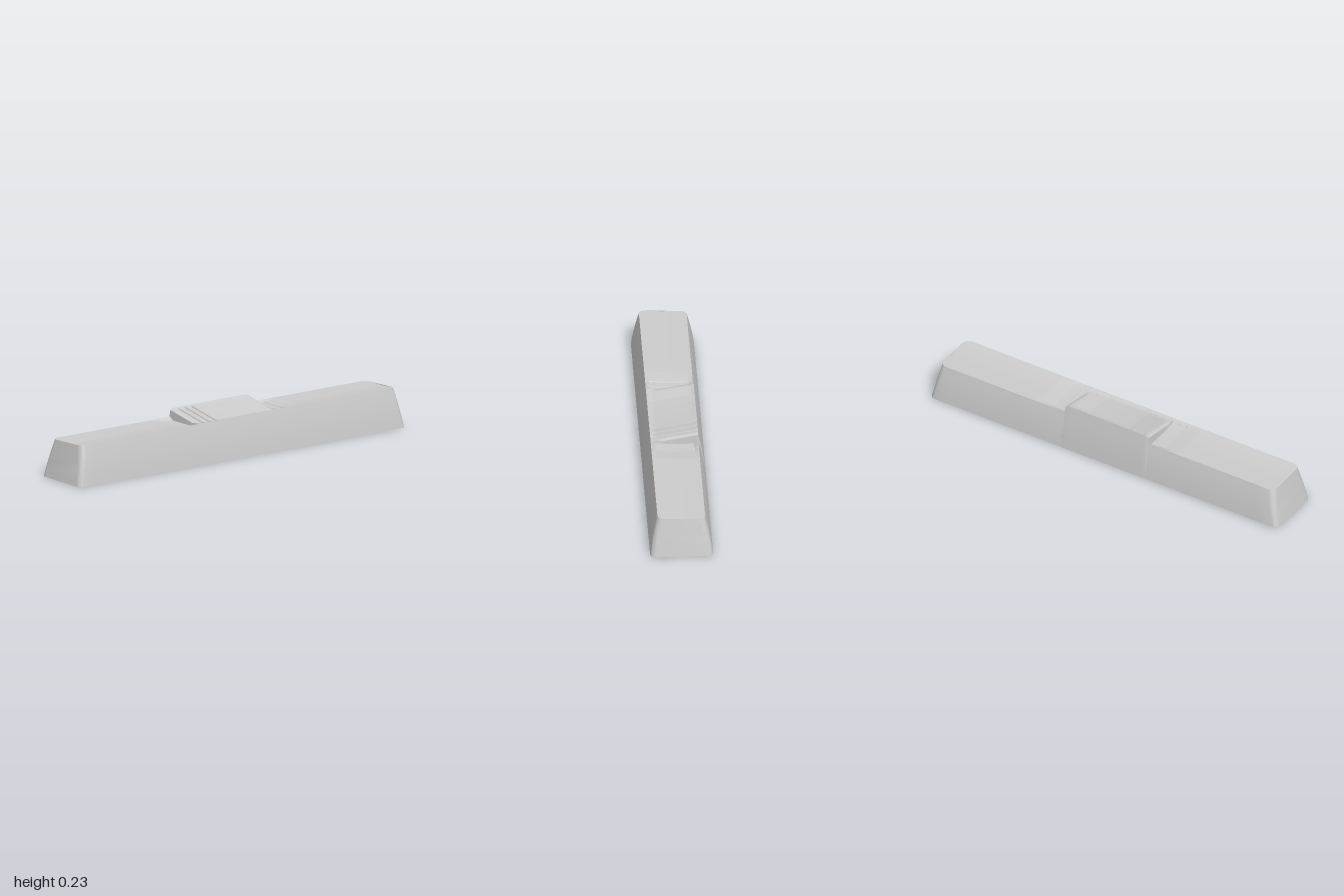
import * as THREE from 'three';
import { toCreasedNormals } from 'three/addons/utils/BufferGeometryUtils.js';

const material = new THREE.MeshStandardMaterial({ color: 0xcccccc });
const { lerp, smoothstep, clamp } = THREE.MathUtils;
const WALL = 5, TOP = 24, LAST = 2 * WALL + TOP;

// Height of the outer top: shallow dish, sloping raised pad, grip ridges and sunken ramps
function topHeight(x, z) {
  const a = Math.abs(x);
  const fade = 1 - smoothstep(Math.abs(z), 0.095, 0.113);
  const dish = 0.187 + 0.01 * Math.pow(Math.max(z, 0) / 0.117, 1.5);
  if (a < 0.24) {
    const corner = 0.01 * Math.pow(clamp((a - 0.215) / 0.025, 0, 1), 2);
    const pad = 0.194 + (0.09 - z) * 0.171 - corner;
    const ridge = a > 0.12 ? 0.006 * (1 - ((a - 0.12) / 0.04) % 1) : 0.003 * (1 - (a / 0.12) ** 2);
    return Math.max(dish, pad) - ridge * fade;
  }
  if (a >= 0.4) return dish;
  const step = a < 0.28 ? 0.014 : a < 0.32 ? 0.01 : 0.007 * (0.4 - a) / 0.08;
  return dish - step * fade;
}

// Height of the hollow's ceiling: ramps down towards the middle, with ribs across it
function ceilingHeight(x) {
  const a = Math.abs(x);
  if (a > 0.4) return 0.165;
  if (a > 0.32) return lerp(0.145, 0.165, (a - 0.32) / 0.08);
  if (a > 0.12) return 0.145 + (((a - 0.12) / 0.04) % 1 < 0.5 ? 0.014 : 0);
  return 0.158;
}

// Column positions, dense at the ridges and round the corners, mirrored in x
function columns(length, radius) {
  const half = [];
  for (let i = 1; i <= 42; i++) {
    const x = i / 100;
    if (i >= 12 && i <= 40 && i % 2 === 0) half.push(x - 0.001, x + 0.001);
    else half.push(x);
  }
  for (let i = 1; i <= 8; i++) half.push(lerp(0.42, length - radius, i / 8));
  for (let i = 1; i <= 7; i++) half.push(length - radius + radius * Math.sin(i / 7 * Math.PI / 2));
  return [...half.map(x => -x).reverse(), 0, ...half];
}

// Tapered shell lofted along x, each section running up the front, over the top and down the back
function shell({ length, lean, base, top, radius, height, inward }) {
  const xs = columns(length, radius), pos = [], index = [], rim = [];
  const row = LAST + 1;
  for (const x of xs) {
    const d = Math.max(0, Math.abs(x) - (length - radius));
    const cut = radius - Math.sqrt(Math.max(0, radius * radius - d * d));
    const zBase = base - cut, zTop = top - cut;
    const shift = Math.sign(x) * lean * smoothstep(Math.abs(x), 0.45, length - radius);
    rim.push([x, zBase]);
    for (let j = 0; j <= LAST; j++) {
      const t = Math.min(1, j / WALL, (LAST - j) / WALL);
      const v = clamp((j - WALL) / TOP, 0, 1);
      const zEdge = lerp(zTop, -zTop, v);
      const side = j < LAST / 2 ? 1 : -1;
      const z = t < 1 ? side * (lerp(zBase, zTop, t) + 0.004 * Math.sin(Math.PI * t)) : zEdge;
      pos.push(x - shift * t, height(x, zEdge) * t, z);
    }
  }
  const tri = (a, b, c) => inward ? index.push(a, c, b) : index.push(a, b, c);
  for (let i = 0; i < xs.length - 1; i++) {
    for (let j = 0; j < LAST; j++) {
      const a = i * row + j, b = a + row;
      tri(a, b, a + 1);
      tri(b, b + 1, a + 1);
    }
  }
  // End walls
  const end = (xs.length - 1) * row;
  for (let j = 0; j < LAST / 2; j++) {
    const k = LAST - j;
    tri(end + j, end + k, end + j + 1);
    tri(end + k, end + k - 1, end + j + 1);
    tri(j, j + 1, k);
    tri(k, j + 1, k - 1);
  }
  const geometry = new THREE.BufferGeometry();
  geometry.setAttribute('position', new THREE.Float32BufferAttribute(pos, 3));
  geometry.setIndex(index);
  const outline = [
    ...rim.map(([x, z]) => new THREE.Vector2(x, z)),
    ...rim.slice().reverse().map(([x, z]) => new THREE.Vector2(x, -z)),
  ];
  return { geometry: toCreasedNormals(geometry, 0.45), outline };
}

function addMesh(group, name, geometry) {
  const mesh = new THREE.Mesh(geometry, material);
  mesh.name = name;
  group.add(mesh);
  return mesh;
}

// Round post with a cross-shaped socket
function stemGeometry() {
  const shape = new THREE.Shape().absarc(0, 0, 0.047, 0, Math.PI * 2);
  const l = 0.035, w = 0.011;
  const cross = [[l, w], [w, w], [w, l], [-w, l], [-w, w], [-l, w],
    [-l, -w], [-w, -w], [-w, -l], [w, -l], [w, -w], [l, -w]];
  shape.holes.push(new THREE.Path(cross.map(([x, y]) => new THREE.Vector2(x, y))));
  const geometry = new THREE.ExtrudeGeometry(shape, { depth: 0.115, bevelEnabled: false, curveSegments: 24 });
  geometry.rotateX(-Math.PI / 2);
  return toCreasedNormals(geometry, 0.6);
}

export function createModel() {
  const group = new THREE.Group();
  group.name = 'longKeycap';

  const outer = shell({ length: 1, lean: 0.04, base: 0.153, top: 0.116, radius: 0.03, height: topHeight });
  const inner = shell({
    length: 0.978, lean: 0.035, base: 0.133, top: 0.098, radius: 0.02, height: ceilingHeight, inward: true,
  });
  addMesh(group, 'outerShell', outer.geometry);
  addMesh(group, 'innerHollow', inner.geometry);

  // Flat rim between the outer and inner walls
  const rimShape = new THREE.Shape(outer.outline);
  rimShape.holes.push(new THREE.Path(inner.outline));
  addMesh(group, 'bottomRim', new THREE.ShapeGeometry(rimShape).rotateX(Math.PI / 2));

  // Mounting posts
  const stem = stemGeometry();
  for (const [name, x] of [['rightStem', -0.86], ['centreStem', 0], ['leftStem', 0.86]]) {
    addMesh(group, name, stem).position.set(x, 0.055, 0);
  }
  return group;
}
